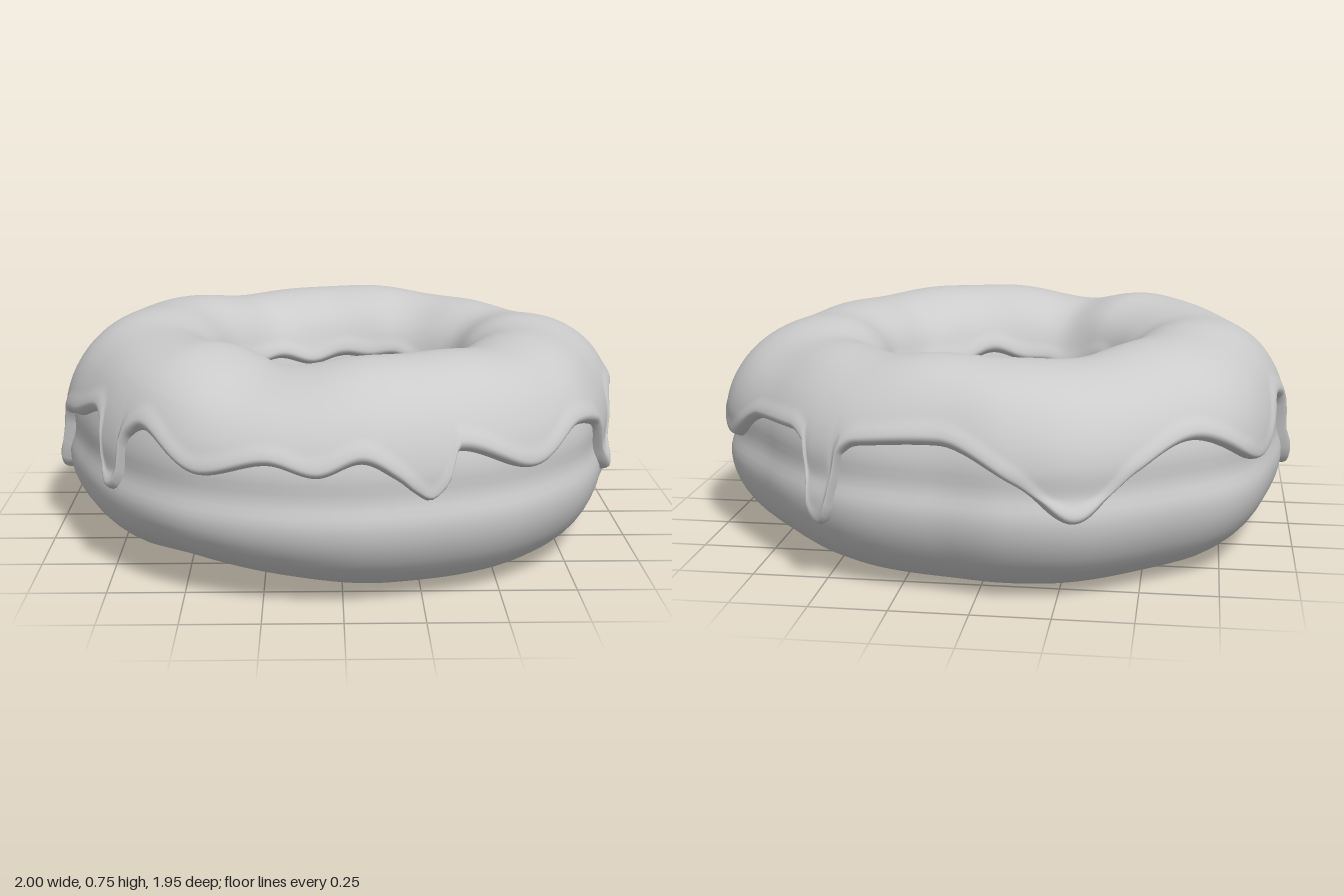
import * as THREE from 'three';

const SEG = 440;
const smooth = THREE.MathUtils.smoothstep;

// Periodic monotone cubic through [degrees, value] pairs, sorted by angle in 0..360
function around(keys) {
  const n = keys.length;
  const key = (i) => {
    const turn = Math.floor(i / n);
    const [d, v] = keys[i - turn * n];
    return [d + 360 * turn, v];
  };
  const slope = (i) => (key(i + 1)[1] - key(i)[1]) / (key(i + 1)[0] - key(i)[0]);
  const tangent = (i) => {
    const s = slope(i - 1), t = slope(i);
    return s * t > 0 ? (2 * s * t) / (s + t) : 0;
  };
  return (a) => {
    const d = ((THREE.MathUtils.radToDeg(a) % 360) + 360) % 360;
    let i = -1;
    while (key(i + 1)[0] <= d) i++;
    const [a0, v0] = key(i), [a1, v1] = key(i + 1);
    const w = a1 - a0, u = (d - a0) / w, e = u * u * (3 - 2 * u);
    return v0 + (v1 - v0) * e + w * u * (1 - u) * ((1 - u) * tangent(i) - u * tangent(i + 1));
  };
}

// Angles run from +x towards the front (+z).
const outline = around([[0, 1], [16, .965], [36, .985], [54, .987], [73, .972], [90, .983], [118, .99],
  [138, .972], [158, .96], [177, .982], [192, .975], [216, 1.012], [232, .985], [251, 1.005],
  [264, .985], [278, .95], [300, .972], [321, .965], [347, 1.027]]);
const topLift = around([[0, 0], [35, 0], [75, .012], [110, -.025], [135, .025], [158, .005], [180, .013],
  [202, .013], [245, -.018], [275, .003], [300, -.018], [330, -.027]]);
const bottomLift = around([[20, 0], [80, .012], [105, .04], [125, .058], [148, .025], [175, .01], [240, 0], [300, .005]]);

// Lower limit of the icing on the outside: waves and long drips
const outerEdge = around([[6, .49], [12, .45], [15.5, .32], [19, .27], [22, .31], [27, .46], [37, .495], [52, .42],
  [68, .5], [71, .4], [74, .36], [77, .39], [80, .43], [87, .485], [95, .445], [104, .48], [117, .43], [132, .515],
  [137, .47], [138.8, .33], [141, .3], [143, .32], [145.5, .48], [150, .515], [161, .465], [171, .43],
  [173.5, .25], [176, .21], [178.5, .25], [182.5, .47], [190, .5], [208, .375], [227, .49], [240, .42], [252, .285],
  [262, .4], [277, .5], [293.5, .48], [297, .44], [299, .25], [301.3, .21], [303.3, .235], [306, .45],
  [311, .485], [325, .475], [339, .36], [348, .4], [357, .485]]);
// Lower limit of the icing inside the hole
const innerEdge = (a) => .495 + .013 * Math.sin(5 * a + 1) + .01 * Math.sin(11 * a);

// Dough cross-section (radius, height): outside, over the top, down the hole
const section = new THREE.CatmullRomCurve3([
  [.66, .005], [.785, .03], [.89, .11], [.945, .205], [.958, .29], [.938, .365], [.938, .45], [.91, .54],
  [.85, .625], [.76, .683], [.65, .703], [.555, .685], [.475, .63], [.43, .55], [.405, .46], [.382, .38],
  [.367, .30], [.388, .20], [.45, .09], [.55, .02],
].map(([r, y]) => new THREE.Vector3(r, y, 0)), true);
const KNOTS = 20;

// Section parameter at which the curve reaches a height, between two parameters
function paramAt(y, lo, hi) {
  const rising = section.getPoint(hi).y > section.getPoint(lo).y;
  for (let k = 0; k < 18; k++) {
    const mid = (lo + hi) / 2;
    if ((section.getPoint(mid).y < y) === rising) lo = mid; else hi = mid;
  }
  return lo;
}

// Point on the ring surface at angle a and section parameter t, pushed out by offset
function ringPoint(a, t, offset) {
  const p = section.getPoint((t + 1) % 1);
  const q = section.getPoint((t + 1.002) % 1);
  const len = Math.hypot(q.x - p.x, q.y - p.y);
  let r = p.x + (offset * (q.y - p.y)) / len;
  let y = p.y - (offset * (q.x - p.x)) / len;
  const outer = smooth(r, .4, .95);
  r *= 1 + (outline(a) / .978 - 1) * outer;
  y += topLift(a) * smooth(y, .4, .7) + bottomLift(a) * (1 - smooth(y, 0, .35));
  const hole = 1 - outer; // the hole sits slightly off centre
  return [r * Math.cos(a) + .015 * hole, y, r * Math.sin(a) - .017 * hole];
}

// Surface swept round the ring; closed in angle, optionally closed across the section
function sweep(closed, loopAt) {
  const pos = [], index = [];
  const rows = loopAt(0).length;
  for (let i = 0; i < SEG; i++) {
    pos.push(...loopAt((i / SEG) * Math.PI * 2).flat());
    for (let j = 0; j < (closed ? rows : rows - 1); j++) {
      const n = ((i + 1) % SEG) * rows, m = i * rows, k = (j + 1) % rows;
      index.push(m + j, m + k, n + j, n + j, m + k, n + k);
    }
  }
  const g = new THREE.BufferGeometry();
  g.setAttribute('position', new THREE.Float32BufferAttribute(pos, 3));
  g.setIndex(index);
  g.computeVertexNormals();
  return g;
}

const steps = (n, f) => Array.from({ length: n }, (_, j) => f(j / n));

function doughLoop(a) {
  return steps(64, (u) => ringPoint(a, u, 0));
}

// Icing: even rows over the top, denser rows towards the rounded lip at both edges
const TOP_START = .39, TOP_END = .62;
function icingLoop(a) {
  const t0 = paramAt(outerEdge(a), 2 / KNOTS, 9 / KNOTS);
  const t1 = paramAt(innerEdge(a), 11 / KNOTS, 16 / KNOTS);
  const params = [
    ...steps(28, (u) => t0 + (TOP_START - t0) * u * u),
    ...steps(24, (u) => TOP_START + (TOP_END - TOP_START) * u),
    ...steps(16, (u) => t1 + (TOP_END - t1) * (1 - u) ** 2),
    t1,
  ];
  return params.map((t) => {
    const d = Math.max(0, Math.min(t - t0, t1 - t) * 2); // distance to the nearest edge
    const lip = Math.sqrt(1 - (1 - Math.min(d / .025, 1)) ** 2);
    const bead = .006 * (1 - smooth(d, .03, .08));
    const ripple = .007 * Math.sin(4 * a + 9 * t) * Math.sin(7 * a - 12 * t)
      * smooth(t, .36, .45) * (1 - smooth(t, .57, .65));
    return ringPoint(a, t, -.006 + lip * (.034 + bead + ripple));
  });
}

export function createModel() {
  const group = new THREE.Group();
  const add = (name, geometry, side) => {
    const mesh = new THREE.Mesh(geometry, new THREE.MeshStandardMaterial({ color: 0xcccccc, side }));
    mesh.name = name;
    group.add(mesh);
  };
  add('dough', sweep(true, doughLoop), THREE.FrontSide);
  add('icing', sweep(false, icingLoop), THREE.DoubleSide);
  return group;
}
